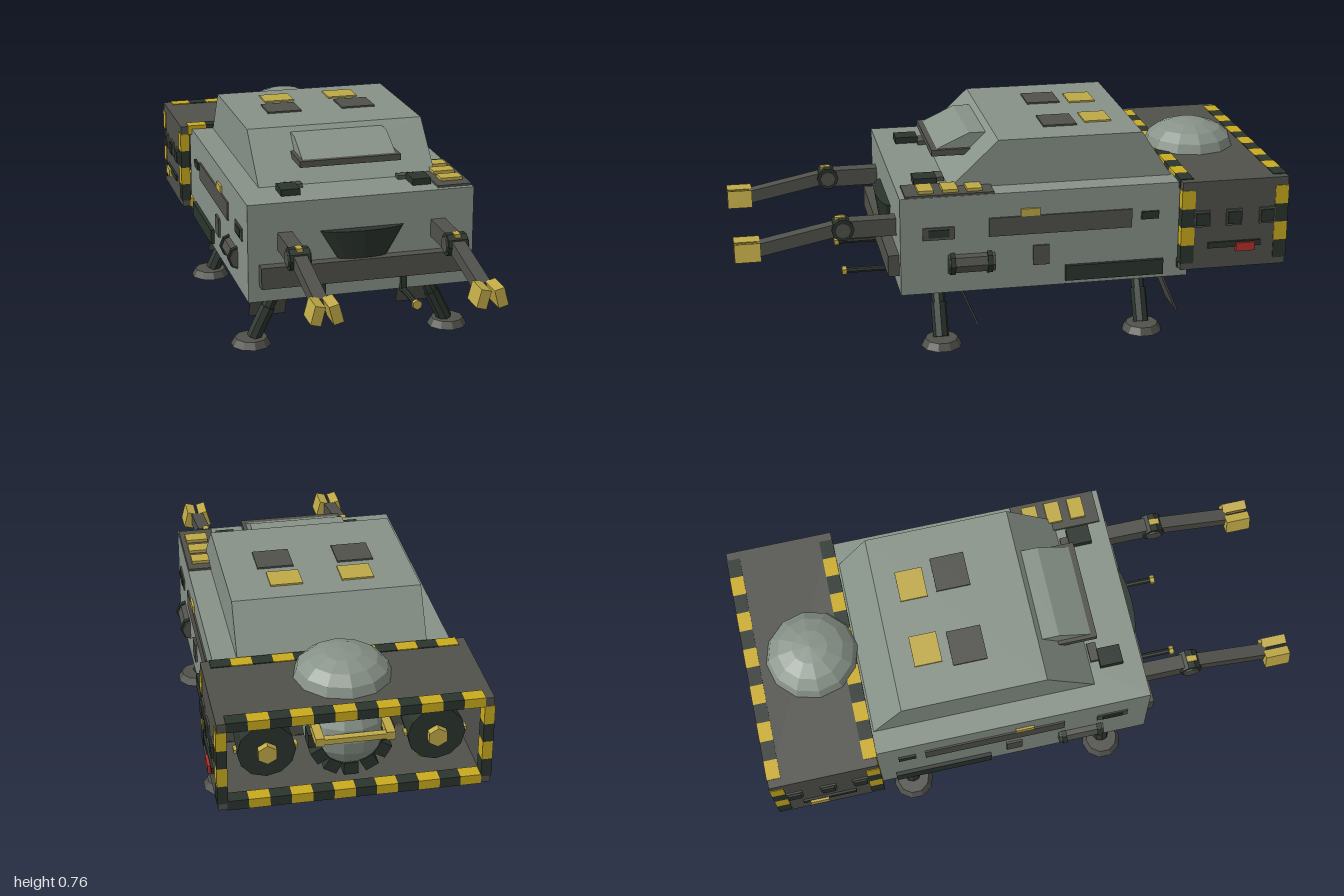
import * as THREE from 'three';

const mat = (name, color) => {
  const m = new THREE.MeshStandardMaterial({ color });
  m.name = name;
  return m;
};

export function createModel() {
  const root = new THREE.Group();
  root.name = 'utilityLander';
  const hull = mat('hullGrey', 0x879288);
  const grey = mat('darkGrey', 0x50514b);
  const dark = mat('blackGreen', 0x2b342d);
  const yellow = mat('dullYellow', 0xbfa947);
  const stripe = mat('hazardYellow', 0xc9aa1f);
  const red = mat('signalRed', 0xb5322b);

  // Adds a faceted mesh
  const add = (name, material, geometry, parent = root) => {
    const g = geometry.index ? geometry.toNonIndexed() : geometry;
    g.computeVertexNormals();
    const m = new THREE.Mesh(g, material);
    m.name = name;
    parent.add(m);
    return m;
  };
  // Box from its limits on each axis
  const box = (name, material, x0, x1, y0, y1, z0, z1, parent = root) => {
    const m = add(name, material, new THREE.BoxGeometry(Math.abs(x1 - x0), y1 - y0, Math.abs(z1 - z0)), parent);
    m.position.set((x0 + x1) / 2, (y0 + y1) / 2, (z0 + z1) / 2);
    return m;
  };
  // Cylinder between two points, r0 at the first
  const rod = (name, material, a, b, r0, r1 = r0, sides = 8, parent = root) => {
    const p = new THREE.Vector3(...a), q = new THREE.Vector3(...b), d = q.clone().sub(p);
    const m = add(name, material, new THREE.CylinderGeometry(r1, r0, d.length(), sides), parent);
    m.position.copy(p).add(q).multiplyScalar(0.5);
    m.quaternion.setFromUnitVectors(new THREE.Vector3(0, 1, 0), d.normalize());
    return m;
  };
  // Side profile of [z, y] points extruded across x
  const prism = (name, material, pts, halfWidth) => {
    const shape = new THREE.Shape(pts.map(([z, y]) => new THREE.Vector2(-z, y)));
    const g = new THREE.ExtrudeGeometry(shape, { depth: halfWidth * 2, bevelEnabled: false });
    g.translate(0, 0, -halfWidth).rotateY(Math.PI / 2);
    return add(name, material, g);
  };

  // Hull and cabin
  box('hull', hull, -0.42, 0.42, 0.22, 0.585, -0.64, 0.42);
  prism('cabin', hull, [[0.235, 0.58], [0.05, 0.755], [-0.48, 0.755], [-0.595, 0.58]], 0.335);
  prism('visor', hull, [[0.255, 0.68], [0.13, 0.738], [0.05, 0.738], [0.05, 0.68]], 0.176);
  box('visorSill', grey, -0.19, 0.19, 0.66, 0.683, 0.1, 0.27);
  for (const s of [1, -1]) {
    box('roofPanelYellow', yellow, s * 0.07, s * 0.185, 0.752, 0.761, -0.4, -0.3);
    box('roofPanelGrey', grey, s * 0.08, s * 0.21, 0.752, 0.761, -0.265, -0.14);
    box('deckBlock', dark, s * 0.21, s * 0.28, 0.58, 0.609, 0.265, 0.35);
    box('deckBracket', grey, s * 0.18, s * 0.25, 0.58, 0.6, 0.235, 0.268);
  }

  // Deck plate with lamps, on the left only
  box('deckPlate', grey, 0.29, 0.418, 0.58, 0.593, 0.08, 0.4);
  for (const z of [0.12, 0.207, 0.295]) box('deckLamp', yellow, 0.318, 0.4, 0.59, 0.604, z, z + 0.056);

  // Front bumper, scoop and probes
  box('bumper', grey, -0.38, 0.38, 0.28, 0.36, 0.41, 0.46);
  const scoop = add('scoop', dark, new THREE.CylinderGeometry(0.155, 0.09, 0.11, 16));
  scoop.scale.z = 0.26;
  scoop.position.set(0, 0.413, 0.42);

  for (const s of [1, -1]) {
    // Hull side fittings
    const side = (name, m, out, y0, y1, z0, z1) => box(name, m, s * 0.41, s * (0.42 + out), y0, y1, z0, z1);
    side('sideWindow', grey, 0.006, 0.425, 0.495, -0.425, 0.1);
    side('sideLamp', yellow, 0.008, 0.495, 0.523, -0.085, -0.015);
    side('sideVent', grey, 0.005, 0.425, 0.472, 0.225, 0.34);
    side('sideVentCore', dark, 0.009, 0.435, 0.463, 0.245, 0.32);
    side('sideSlot', dark, 0.008, 0.453, 0.482, -0.525, -0.46);
    side('sideHatch', grey, 0.008, 0.305, 0.38, -0.12, -0.06);
    side('sideSkid', dark, 0.014, 0.237, 0.295, -0.545, -0.18);
    rod('sideTank', grey, [s * 0.41, 0.328, 0.08], [s * 0.41, 0.328, 0.25], 0.04);
    for (const z of [0.09, 0.225]) rod('tankBand', dark, [s * 0.41, 0.328, z], [s * 0.41, 0.328, z + 0.018], 0.046);

    // Probes
    const px = s * 0.152;
    box('probeStub', dark, px - 0.01, px + 0.01, 0.213, 0.285, 0.425, 0.447);
    rod('probeRod', dark, [px, 0.223, 0.43], [px, 0.223, 0.59], 0.011);
    rod('probeTip', yellow, [px, 0.223, 0.588], [px, 0.223, 0.605], 0.018, 0.018, 6);

    // Arms with a two-finger claw
    const arm = new THREE.Group();
    arm.name = 'arm';
    arm.position.x = s * 0.285;
    root.add(arm);
    box('upperArm', grey, -0.027, 0.027, 0.41, 0.475, 0.41, 0.615, arm);
    rod('elbow', dark, [-0.036, 0.445, 0.612], [0.036, 0.445, 0.612], 0.041, 0.041, 10, arm);
    for (const e of [1, -1]) rod('elbowCap', grey, [e * 0.034, 0.445, 0.612], [e * 0.042, 0.445, 0.612], 0.03, 0.03, 8, arm);
    box('elbowLamp', yellow, -0.011, 0.011, 0.474, 0.488, 0.6, 0.638, arm);
    const fore = box('forearm', grey, -0.024, 0.024, -0.024, 0.024, -0.155, 0.155, arm);
    fore.position.set(0, 0.417, 0.76);
    fore.rotation.x = 0.2;
    for (const e of [1, -1]) {
      const finger = add('clawFinger', yellow, new THREE.BoxGeometry(0.036, 0.066, 0.093), arm);
      finger.position.set(e * 0.031, 0.383, 0.953);
      finger.rotation.z = e * 0.26;
    }

    // Landing legs with bay doors
    for (const z of [0.27, -0.485]) {
      rod('foot', grey, [s * 0.38, 0, z], [s * 0.38, 0.027, z], 0.075, 0.06, 10);
      rod('legLower', dark, [s * 0.37, 0.025, z], [s * 0.315, 0.14, z], 0.029);
      rod('legUpper', dark, [s * 0.325, 0.12, z], [s * 0.265, 0.24, z], 0.024);
      box('legMount', dark, s * 0.22, s * 0.35, 0.2, 0.225, z - 0.075, z + 0.075);
      for (const e of [1, -1]) box('legClamp', yellow, s * 0.25, s * 0.3, 0.19, 0.202, z + e * 0.045 - 0.012, z + e * 0.045 + 0.012);
      const door = add('legDoor', grey, new THREE.BoxGeometry(0.14, 0.163, 0.007));
      door.position.set(s * 0.288, 0.128, z - 0.109);
      door.rotation.x = 0.39;
    }
  }

  // Rear bay, an open sleeve
  const rim = new THREE.Shape([[-0.465, 0.26], [0.465, 0.26], [0.465, 0.597], [-0.465, 0.597]].map(p => new THREE.Vector2(...p)));
  rim.holes.push(new THREE.Path([[-0.435, 0.29], [-0.435, 0.567], [0.435, 0.567], [0.435, 0.29]].map(p => new THREE.Vector2(...p))));
  const bay = add('rearBay', grey, new THREE.ExtrudeGeometry(rim, { depth: 0.398, bevelEnabled: false }));
  bay.position.z = -0.998;
  box('bayBulkhead', grey, -0.42, 0.42, 0.288, 0.569, -0.647, -0.635);

  // Hazard stripes round both ends of the bay
  for (const [z0, z1] of [[-1, -0.95], [-0.648, -0.598]]) {
    const w = 0.868 / 12, h = 0.28 / 4;
    for (let i = 0; i < 12; i++) {
      const x = -0.434 + i * w, m = i % 2 ? dark : stripe;
      box('stripeTop', m, x, x + w, 0.564, 0.6, z0, z1);
      box('stripeBottom', m, x, x + w, 0.257, 0.293, z0, z1);
    }
    for (let i = 0; i < 4; i++) for (const s of [1, -1]) {
      const y = 0.285 + i * h;
      box('stripeSide', i % 2 ? stripe : dark, s * 0.432, s * 0.468, y, y + h, z0, z1);
    }
  }

  // Bay side fittings
  for (const s of [1, -1]) {
    for (const z of [-0.7, -0.82, -0.945]) {
      box('bayLatchFrame', grey, s * 0.46, s * 0.471, 0.424, 0.486, z - 0.006, z + 0.054);
      box('bayLatch', dark, s * 0.46, s * 0.478, 0.432, 0.478, z, z + 0.048);
    }
    box('handleRail', dark, s * 0.46, s * 0.473, 0.34, 0.362, -0.9, -0.7);
    box('handle', s > 0 ? red : yellow, s * 0.462, s * 0.482, 0.325, 0.357, -0.875, -0.805);

    // Thrusters inside the bay
    const x = s * 0.29;
    rod('thruster', dark, [x, 0.43, -0.64], [x, 0.43, -0.93], 0.085, 0.1, 12);
    rod('thrusterHub', yellow, [x, 0.43, -0.92], [x, 0.43, -0.955], 0.036, 0.036, 6);
    for (let i = 0; i < 6; i++) {
      const a = i * Math.PI / 3;
      const tick = add('thrusterTick', yellow, new THREE.BoxGeometry(0.02, 0.012, 0.03));
      tick.position.set(x + Math.cos(a) * 0.098, 0.43 + Math.sin(a) * 0.098, -0.9);
      tick.rotation.z = a;
    }
  }

  // Dome, round tank with its cradle, and grab bar
  const dome = add('dome', hull, new THREE.SphereGeometry(0.17, 12, 4, 0, Math.PI * 2, 0, Math.PI / 2));
  dome.scale.y = 0.55;
  dome.position.set(0, 0.596, -0.755);
  const tank = add('bayTank', hull, new THREE.SphereGeometry(0.15, 14, 10));
  tank.position.set(0, 0.443, -0.81);
  for (let i = 0; i < 7; i++) {
    const a = Math.PI * (1 + i / 6);
    const tooth = add('cradleTooth', dark, new THREE.BoxGeometry(0.045, 0.05, 0.06));
    tooth.position.set(Math.cos(a) * 0.125, 0.443 + Math.sin(a) * 0.125, -0.89);
    tooth.rotation.z = a;
  }
  box('grabBar', yellow, -0.13, 0.13, 0.468, 0.488, -0.985, -0.96);
  for (const s of [1, -1]) box('grabBarEnd', yellow, s * 0.105, s * 0.135, 0.463, 0.493, -0.985, -0.88);
  return root;
}
